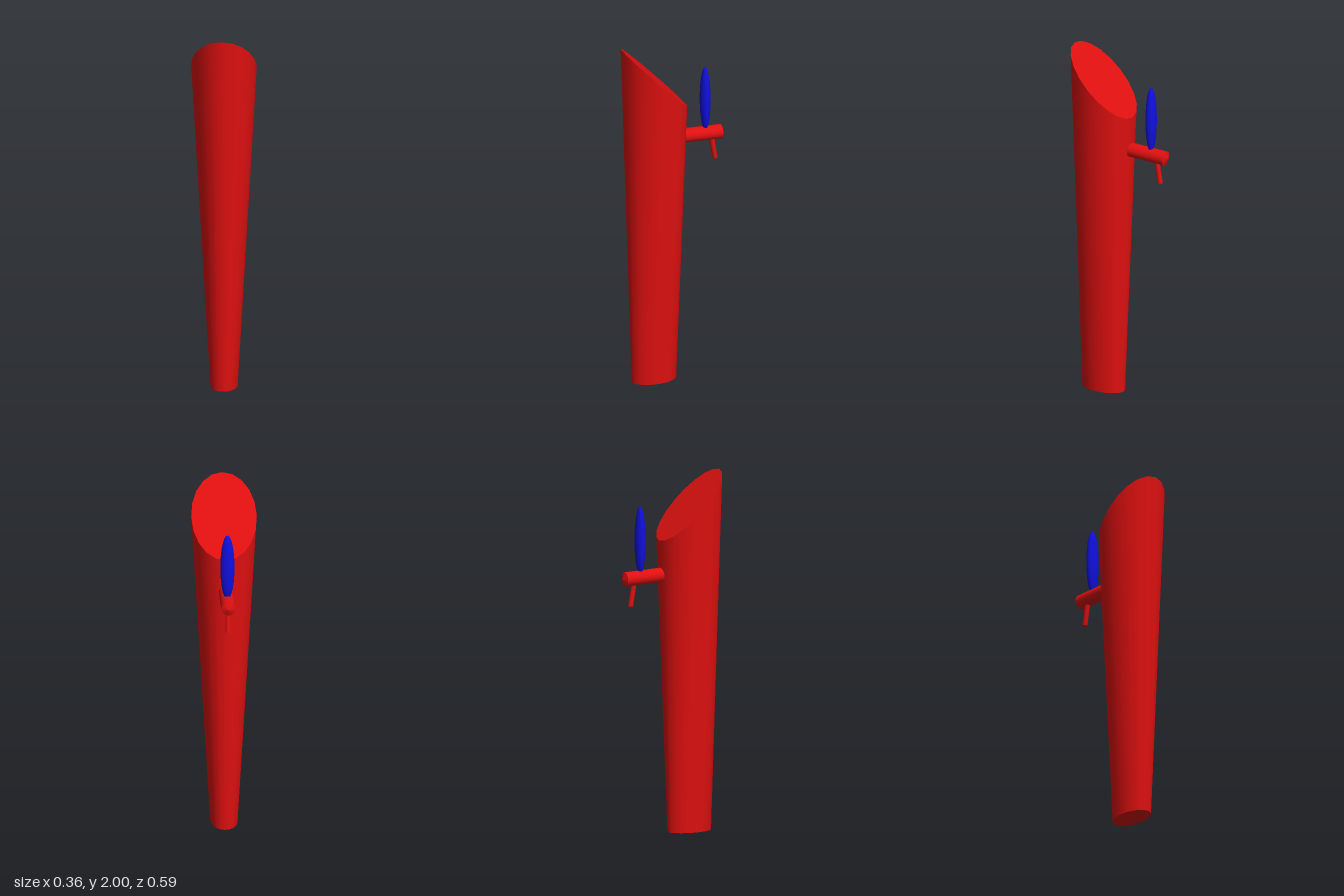
import * as THREE from 'three';

const red = new THREE.MeshStandardMaterial({ color: 0xe01010 });
const blue = new THREE.MeshStandardMaterial({ color: 0x1010e0 });
const UP = new THREE.Vector3(0, 1, 0);

function addMesh(parent, name, geometry, material) {
  const mesh = new THREE.Mesh(geometry, material);
  mesh.name = name;
  parent.add(mesh);
  return mesh;
}

// Round rod from point a to point b; topRadius 0 gives a cone
function addRod(parent, name, a, b, radius, topRadius = radius) {
  const start = new THREE.Vector3(...a);
  const end = new THREE.Vector3(...b);
  const axis = end.clone().sub(start);
  const geometry = new THREE.CylinderGeometry(topRadius, radius, axis.length(), 20);
  const mesh = addMesh(parent, name, geometry, red);
  mesh.position.copy(start).add(end).multiplyScalar(0.5);
  mesh.quaternion.setFromUnitVectors(UP, axis.normalize());
  return mesh;
}

// Tapered column: narrow oval foot, round slanted top
function columnGeometry() {
  const geometry = new THREE.CylinderGeometry(1, 1, 1, 20, 1);
  const pos = geometry.attributes.position;
  for (let i = 0; i < pos.count; i++) {
    const x = pos.getX(i);
    const z = pos.getZ(i);
    if (pos.getY(i) > 0) pos.setXYZ(i, 0.18 * x, 1.815 + 0.185 * z, 0.112 + 0.183 * z);
    else pos.setXYZ(i, 0.075 * x, 0, 0.112 + 0.128 * z);
  }
  geometry.computeVertexNormals();
  // Close the shading seam along the centre line
  const normal = geometry.attributes.normal;
  const v = new THREE.Vector3();
  for (let i = 0; i < pos.count; i++) {
    if (Math.abs(pos.getX(i)) > 1e-6) continue;
    v.fromBufferAttribute(normal, i).setX(0).normalize();
    normal.setXYZ(i, v.x, v.y, v.z);
  }
  return geometry;
}

export function createModel() {
  const model = new THREE.Group();
  model.name = 'beerTap';

  addMesh(model, 'column', columnGeometry(), red);

  // Faucet: pipe with a shallow pointed end and a slanted spout
  const faucet = new THREE.Group();
  faucet.name = 'faucet';
  addRod(faucet, 'pipe', [0, 1.439, -0.03], [0, 1.429, -0.28], 0.04);
  addRod(faucet, 'pipeTip', [0, 1.429, -0.28], [0, 1.4285, -0.295], 0.04, 0);
  addRod(faucet, 'spout', [0, 1.43, -0.22], [0, 1.277, -0.246], 0.014);
  model.add(faucet);

  // Oval pull handle
  const handle = addMesh(model, 'handle', new THREE.SphereGeometry(1, 24, 20), blue);
  handle.scale.set(0.039, 0.19, 0.0285);
  handle.position.set(0, 1.638, -0.188);

  return model;
}
